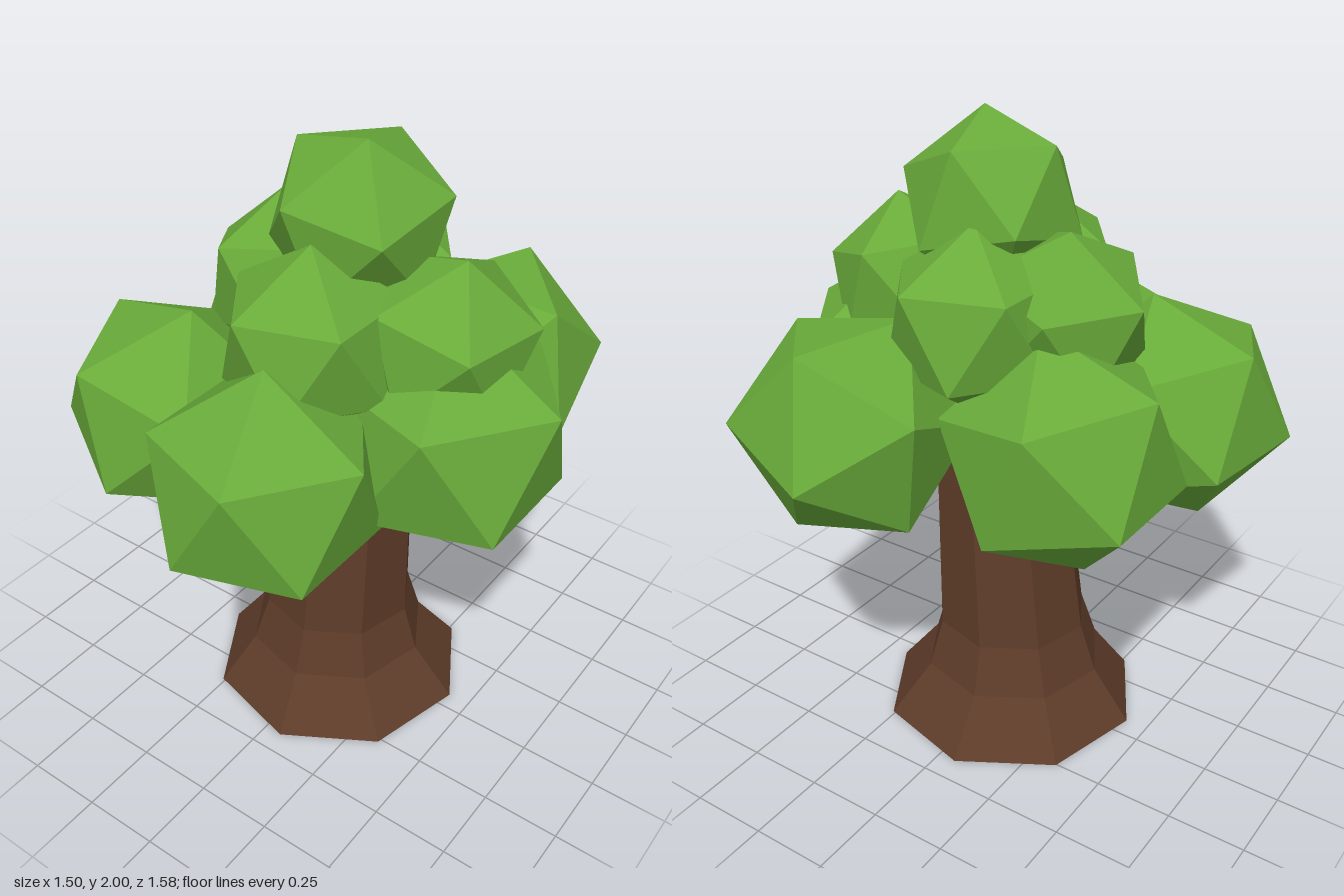
import * as THREE from 'three';

const bark = new THREE.MeshStandardMaterial({ color: 0x5e3c29, flatShading: true });
const leaf = new THREE.MeshStandardMaterial({ color: 0x69ab3a, flatShading: true });

// Orthonormal frame: y along a, x towards b
function frame(a, b) {
  const y = a.clone().normalize();
  const z = b.clone().cross(y).normalize();
  return new THREE.Matrix4().makeBasis(y.clone().cross(z), y, z);
}

// Icosahedron with one corner pointing along "apex" and a neighbouring corner towards "hint"
const cornerFrameInverse = frame(new THREE.Vector3(0, 1, (1 + Math.sqrt(5)) / 2),
  new THREE.Vector3(0, -1, (1 + Math.sqrt(5)) / 2)).invert();

function leafClump({ name, at, r, apex = [0, 1, 0], hint }) {
  const geo = new THREE.IcosahedronGeometry(r, 0);
  const turn = frame(new THREE.Vector3(...apex), new THREE.Vector3(...hint));
  geo.applyMatrix4(turn.multiply(cornerFrameInverse));
  const mesh = new THREE.Mesh(geo, leaf);
  mesh.name = name;
  mesh.position.set(...at);
  return mesh;
}

// Eight-sided trunk, flared at the root and leaning slightly to one side
function trunk() {
  const rings = [ // y, radius, centre x, centre z
    [1.15, 0.195, 0.055, 0],
    [0.88, 0.215, 0.035, 0],
    [0.33, 0.25, 0, 0.01],
    [0.17, 0.3, -0.005, 0.01],
    [0, 0.43, 0, 0.005],
  ];
  const steps = rings.length - 1;
  const start = THREE.MathUtils.degToRad(8);
  const geo = new THREE.CylinderGeometry(1, 1, 1, 8, steps, false, start).toNonIndexed();
  const pos = geo.attributes.position;
  for (let i = 0; i < pos.count; i++) {
    const [y, r, cx, cz] = rings[Math.round((0.5 - pos.getY(i)) * steps)];
    pos.setXYZ(i, cx + pos.getX(i) * r, y, cz + pos.getZ(i) * r);
  }
  geo.computeVertexNormals();
  const mesh = new THREE.Mesh(geo, bark);
  mesh.name = 'trunk';
  return mesh;
}

const clumps = [
  // lower ring
  { name: 'lowerFrontLeaves', at: [0.09, 1.11, 0.475], r: 0.368, hint: [1, 0, 0] },
  { name: 'lowerFrontRightLeaves', at: [-0.42, 1.09, 0.3], r: 0.365, apex: [0.1, 0.35, 0], hint: [-0.27, 0.25, -0.06] },
  { name: 'lowerLeftLeaves', at: [0.4, 1.15, 0.015], r: 0.39, hint: [1, 0, 0] },
  { name: 'lowerBackLeftLeaves', at: [0.27, 1.14, -0.44], r: 0.365, apex: [0, 0.29, -0.22], hint: [0.27, 0.03, -0.24] },
  { name: 'lowerBackRightLeaves', at: [-0.315, 1.11, -0.2], r: 0.376, apex: [0.08, 0.367, 0], hint: [-0.293, 0.235, 0] },
  // middle ring
  { name: 'middleFrontLeaves', at: [0.07, 1.45, 0.233], r: 0.29, hint: [-1, 0, 0] },
  { name: 'middleLeftLeaves', at: [0.36, 1.44, -0.005], r: 0.28, apex: [0.07, 0.27, 0.02], hint: [0.25, 0.09, -0.09] },
  { name: 'middleRightLeaves', at: [-0.2, 1.45, -0.03], r: 0.283, apex: [-0.05, 0.275, -0.05], hint: [-0.27, 0.08, -0.02] },
  { name: 'middleBackLeaves', at: [-0.01, 1.45, -0.2], r: 0.29, hint: [1, 0, 0] },
  // crown
  { name: 'topLeaves', at: [0.065, 1.735, 0], r: 0.284, apex: [0.075, 0.265, 0.07], hint: [0.255, 0.085, -0.1] },
];

export function createModel() {
  const tree = new THREE.Group();
  tree.name = 'tree';
  const foliage = new THREE.Group();
  foliage.name = 'foliage';
  clumps.forEach((c) => foliage.add(leafClump(c)));
  tree.add(trunk(), foliage);
  return tree;
}
